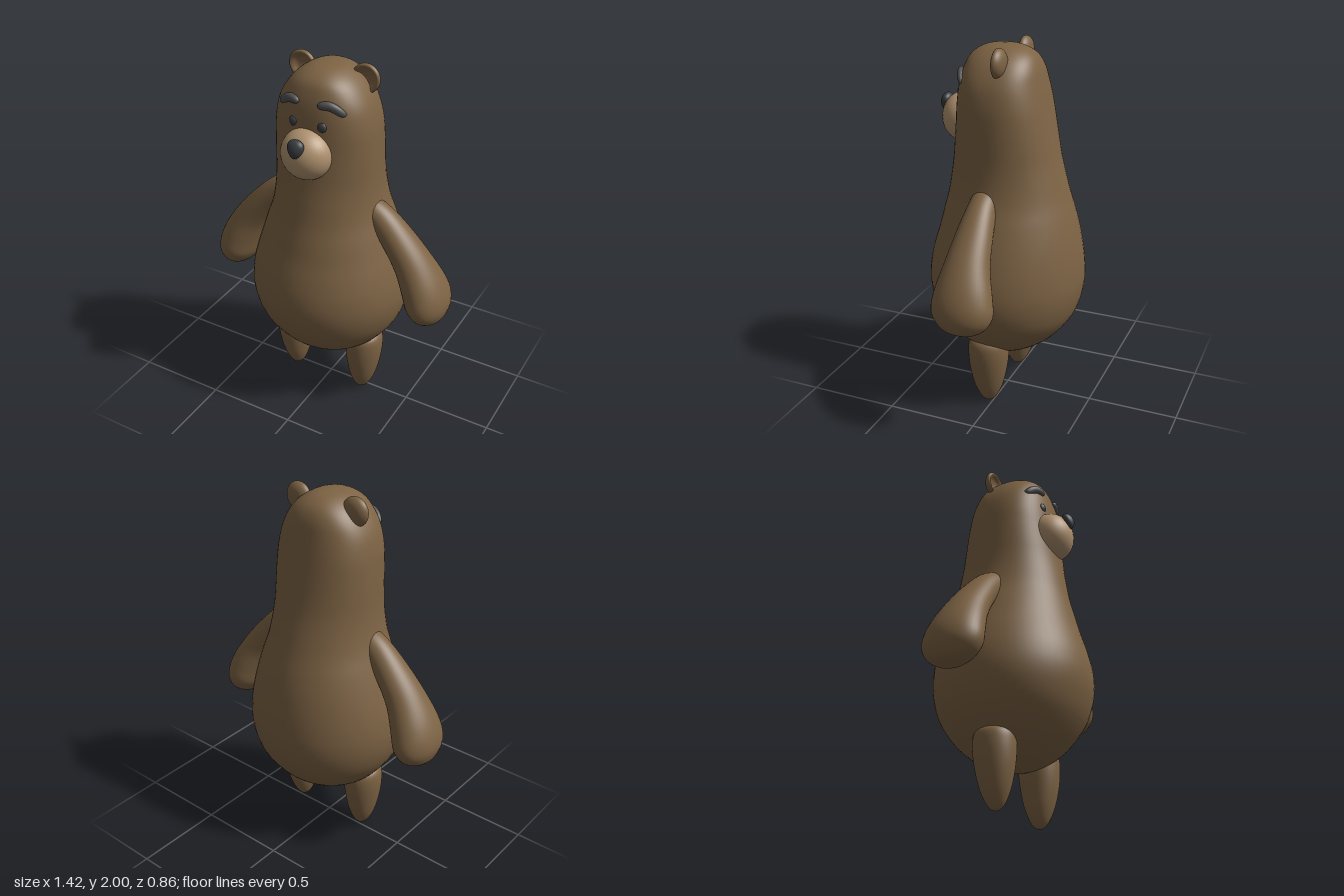
import * as THREE from 'three';
import { mergeVertices } from 'three/addons/utils/BufferGeometryUtils.js';

const paint = (color) => new THREE.MeshStandardMaterial({ color });
const fur = paint(0x7d6344), muzzleTan = paint(0xb0926f), dark = paint(0x3a3d40), browGrey = paint(0x525252);

// Smooth closed skin over sections [x, y, z, half width, half depth (z), squareness]
function loft(sections, steps = 48, sides = 40) {
  const centres = new THREE.CatmullRomCurve3(
    sections.map(([x, y, z]) => new THREE.Vector3(x, y, z)), false, 'catmullrom');
  const sizes = new THREE.CatmullRomCurve3(
    sections.map(([, , , a, b, e = 2]) => new THREE.Vector3(a, b, e)), false, 'catmullrom');
  const pos = [], index = [];
  const bulge = (v, e) => Math.sign(v) * Math.abs(v) ** (2 / e);
  for (let i = 0; i <= steps; i++) {
    const c = centres.getPoint(i / steps), s = sizes.getPoint(i / steps);
    const t = centres.getTangent(i / steps).setZ(0).normalize();
    for (let j = 0; j < sides; j++) {
      const q = (j / sides) * Math.PI * 2;
      const u = bulge(Math.cos(q), s.z) * s.x, w = bulge(Math.sin(q), s.z) * s.y;
      pos.push(c.x - t.y * u, c.y + t.x * u, c.z + w);
      if (i === steps) continue;
      const a = i * sides + j, b = i * sides + (j + 1) % sides;
      index.push(a, b, b + sides, a, b + sides, a + sides);
    }
  }
  const geo = new THREE.BufferGeometry();
  geo.setAttribute('position', new THREE.Float32BufferAttribute(pos, 3));
  geo.setIndex(index);
  const merged = mergeVertices(geo, 1e-5);
  merged.computeVertexNormals();
  return merged;
}

function add(parent, name, geometry, material, position = [0, 0, 0], scale = [1, 1, 1]) {
  const mesh = new THREE.Mesh(geometry, material);
  mesh.name = name;
  mesh.position.set(...position);
  mesh.scale.set(...scale);
  parent.add(mesh);
  return mesh;
}

export function createModel() {
  const model = new THREE.Group();
  model.name = 'bear';

  // Body and head in one skin: height, half width, front z, back z, squareness
  const profile = [
    [0.265, 0, 0, 0, 2], [0.277, 0.1, 0.09, -0.1, 2], [0.315, 0.2, 0.18, -0.19, 2],
    [0.39, 0.3, 0.28, -0.29, 2], [0.5, 0.385, 0.365, -0.375, 2], [0.6, 0.427, 0.408, -0.413, 2],
    [0.7, 0.442, 0.427, -0.428, 2], [0.8, 0.435, 0.422, -0.425, 2], [0.9, 0.413, 0.4, -0.413, 2],
    [1.0, 0.383, 0.37, -0.395, 2], [1.1, 0.35, 0.345, -0.37, 2], [1.2, 0.315, 0.32, -0.34, 2],
    [1.3, 0.293, 0.302, -0.312, 2.05], [1.4, 0.283, 0.285, -0.285, 2.1], [1.5, 0.28, 0.272, -0.263, 2.2],
    [1.6, 0.277, 0.26, -0.243, 2.3], [1.7, 0.27, 0.25, -0.222, 2.4], [1.8, 0.248, 0.238, -0.2, 2.4],
    [1.88, 0.205, 0.217, -0.18, 2.4], [1.94, 0.15, 0.185, -0.145, 2.3], [1.98, 0.08, 0.115, -0.08, 2.1],
    [1.992, 0, 0.015, 0.015, 2],
  ];
  add(model, 'body', loft(profile.map(([y, w, f, b, e]) =>
    [0, y, (f + b) / 2, w, (f - b) / 2, e]), 84, 56), fur);

  // Limbs, ears, eyes and brows, mirrored across x
  const arm = loft([
    [0.2, 1.27, 0.02, 0, 0], [0.215, 1.26, 0.02, 0.035, 0.035], [0.25, 1.235, 0.02, 0.06, 0.065],
    [0.32, 1.175, 0.018, 0.077, 0.08], [0.41, 1.08, 0.016, 0.085, 0.098], [0.5, 0.96, 0.014, 0.098, 0.12],
    [0.565, 0.84, 0.008, 0.113, 0.152], [0.598, 0.75, 0.004, 0.115, 0.166], [0.61, 0.685, 0.003, 0.095, 0.142],
    [0.615, 0.64, 0.004, 0.058, 0.085], [0.617, 0.62, 0.005, 0, 0],
  ], 52);
  const leg = loft([
    [0.228, 0.425, 0.022, 0, 0], [0.228, 0.418, 0.022, 0.06, 0.06], [0.228, 0.39, 0.022, 0.098, 0.105],
    [0.228, 0.32, 0.022, 0.106, 0.114], [0.227, 0.22, 0.024, 0.096, 0.105], [0.223, 0.12, 0.025, 0.077, 0.083],
    [0.219, 0.05, 0.026, 0.052, 0.055], [0.217, 0.012, 0.026, 0.026, 0.028], [0.216, 0, 0.026, 0, 0],
  ]);
  const brow = loft([
    [0.054, 1.838, 0.227, 0, 0], [0.06, 1.842, 0.226, 0.014, 0.012], [0.08, 1.848, 0.223, 0.021, 0.018],
    [0.11, 1.848, 0.214, 0.023, 0.02], [0.14, 1.834, 0.203, 0.023, 0.02], [0.165, 1.813, 0.19, 0.02, 0.018],
    [0.178, 1.801, 0.182, 0.013, 0.012], [0.182, 1.797, 0.18, 0, 0],
  ], 28, 20);
  // Ear: domed back, rounded rim and hollow front
  const ear = new THREE.LatheGeometry(new THREE.SplineCurve([
    [0, -0.032], [0.04, -0.027], [0.066, -0.012], [0.077, 0.008],
    [0.069, 0.022], [0.056, 0.016], [0.036, 0], [0, -0.008],
  ].map(([r, h]) => new THREE.Vector2(r, h))).getPoints(28), 36);
  ear.rotateX(Math.PI / 2);
  const ball = new THREE.SphereGeometry(1, 32, 24);

  for (const [side, s] of [['left', 1], ['right', -1]]) {
    const half = new THREE.Group();
    half.name = side + 'Side';
    half.scale.x = s;
    add(half, side + 'Arm', arm, fur);
    add(half, side + 'Leg', leg, fur);
    add(half, side + 'Ear', ear, fur, [0.182, 1.922, -0.031]);
    add(half, side + 'Eye', ball, dark, [0.08, 1.737, 0.228], [0.028, 0.029, 0.022]);
    add(half, side + 'Eyebrow', brow, browGrey);
    model.add(half);
  }

  // Muzzle and teardrop nose
  add(model, 'muzzle', ball, muzzleTan, [0, 1.583, 0.245], [0.138, 0.135, 0.122]);
  const noseShape = new THREE.SphereGeometry(1, 28, 20);
  const p = noseShape.attributes.position;
  for (let i = 0; i < p.count; i++) p.setX(i, p.getX(i) * (1 + 0.3 * p.getY(i)));
  noseShape.computeVertexNormals();
  add(model, 'nose', noseShape, dark, [0, 1.653, 0.352], [0.043, 0.049, 0.032]).rotation.x = -0.2;

  return model;
}
